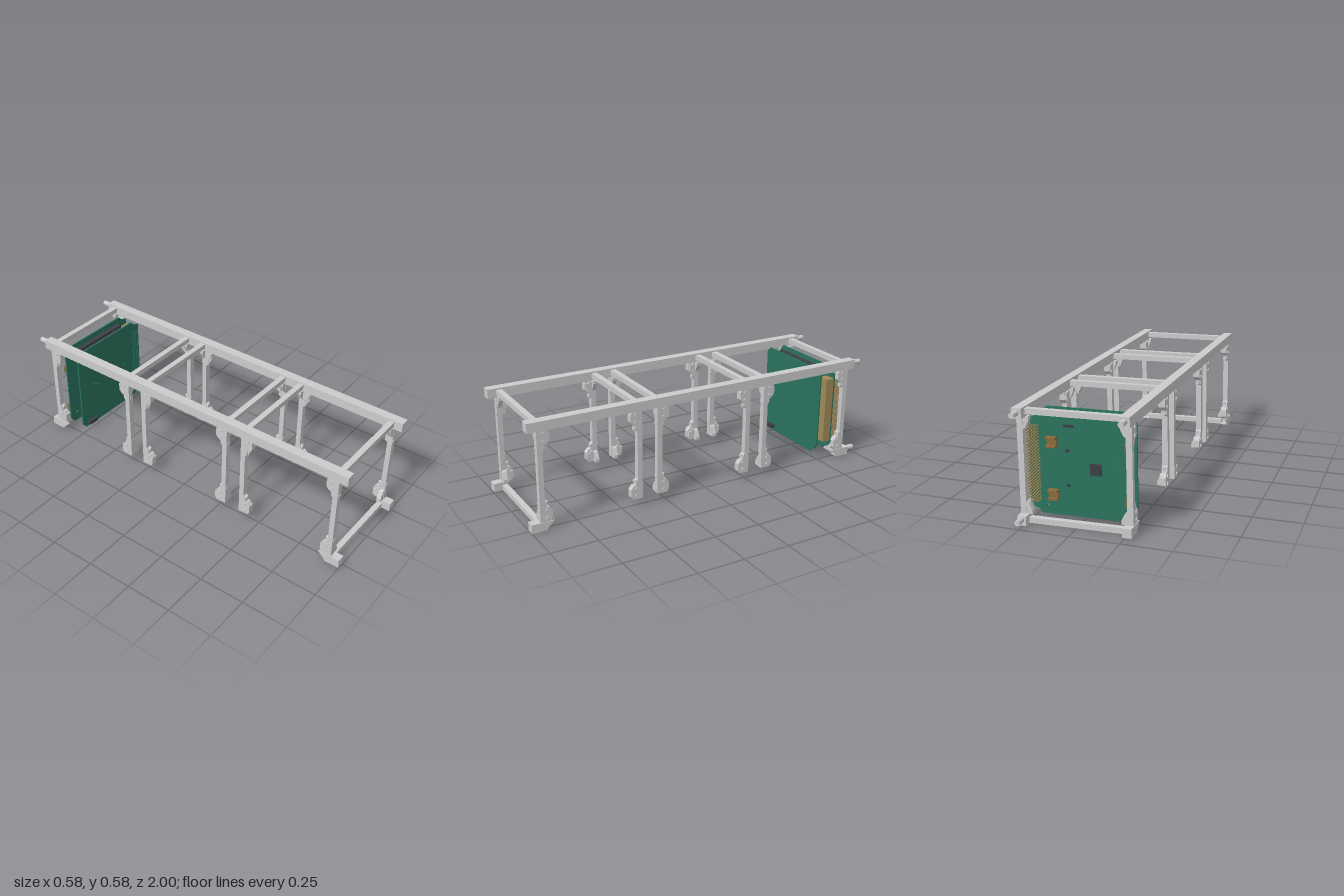
import * as THREE from 'three';
import { mergeGeometries } from 'three/addons/utils/BufferGeometryUtils.js';

const mat = (color) => new THREE.MeshStandardMaterial({ color, flatShading: true });

const box = (w, h, d, x, y, z) => new THREE.BoxGeometry(w, h, d).translate(x, y, z);

// Cylinder along the x or z axis
function rod(r, len, axis, x, y, z, sides = 12) {
  const g = new THREE.CylinderGeometry(r, r, len, sides);
  if (axis === 'x') g.rotateZ(Math.PI / 2); else g.rotateX(Math.PI / 2);
  return g.translate(x, y, z);
}

// Outline of [z, y] points, thickened along x and centred on x
function sidePlate(pts, thick, x) {
  const s = new THREE.Shape(pts.map(([z, y]) => new THREE.Vector2(-z, y)));
  const g = new THREE.ExtrudeGeometry(s, { depth: thick, bevelEnabled: false });
  return g.rotateY(Math.PI / 2).translate(x - thick / 2, 0, 0);
}

// Outline of [x, y] points, thickened along z and centred on z
function frontPlate(pts, thick, z, holes = []) {
  const s = new THREE.Shape(pts.map((p) => new THREE.Vector2(...p)));
  for (const [x, y, r] of holes) s.holes.push(new THREE.Path().absarc(x, y, r, 0, Math.PI * 2, true));
  return new THREE.ExtrudeGeometry(s, { depth: thick, bevelEnabled: false, curveSegments: 3 })
    .translate(0, 0, z - thick / 2);
}

export function createModel() {
  const model = new THREE.Group();
  const frame = new THREE.Group();
  frame.name = 'frame';
  const grey = mat(0xcccccc), green = mat(0x2b735e), dark = mat(0x3c4046);
  const tan = mat(0xa08a58), brown = mat(0x8a6a3c);
  const add = (name, geos, material) => {
    const plain = geos.map((g) => (g.index ? g.toNonIndexed() : g));
    const mesh = new THREE.Mesh(mergeGeometries(plain), material);
    mesh.name = name;
    frame.add(mesh);
  };

  // Upper rails with end pins, and the short lower corner blocks
  for (const s of [-1, 1]) {
    const side = s > 0 ? 'left' : 'right';
    add(side + 'Rail', [
      box(0.05, 0.05, 1.95, s * 0.262, 0.263, 0.025),
      rod(0.014, 0.06, 'z', s * 0.262, 0.266, -0.97, 16),
    ], grey);
    for (const e of [-1, 1]) {
      const end = e > 0 ? 1 : -0.95;
      const h = 0.023;
      const parts = [
        box(0.046, 0.046, 0.05, s * 0.262, -0.263, end - e * 0.025),
        // broken outer wall and ledge of the lower rail
        sidePlate([[end, -0.263 - h], [end - e * 0.075, -0.263 - h],
          [end - e * 0.12, -0.263 + h], [end, -0.263 + h]], 0.006, s * 0.282),
        box(0.046, 0.006, 0.08, s * 0.262, -0.263 - h + 0.003, end - e * 0.04),
      ];
      if (e < 0 && s > 0) parts.push(rod(0.014, 0.06, 'z', 0.262, -0.256, -0.97, 16));
      add(side + (e > 0 ? 'Front' : 'Back') + 'LowerCorner', parts, grey);
    }
  }

  // Six hoops: [outer face of post, direction in which its feet widen]
  const hoops = [[0.952, -1], [0.392, 1], [0.305, -1], [-0.257, 1], [-0.342, -1], [-0.91, 1]];
  hoops.forEach(([z0, dir], i) => {
    const barZ = z0 + dir * 0.013;
    const bars = [box(0.48, 0.028, 0.03, 0, 0.266, barZ)];
    if (i === 0 || i === 5) bars.push(box(0.48, 0.028, 0.03, 0, -0.27, barZ));
    add('crossBars' + (i + 1), bars, grey);

    const half = [[0, 0.24], [0.055, 0.24], [0.066, 0.225], [0.066, 0.185], [0.05, 0.165],
      [0.04, 0.165], [0.035, 0.14], [0.027, 0.13]];
    const outline = [...half, ...half.map(([d, y]) => [d, -y]).reverse()]
      .map(([d, y]) => [z0 + dir * d, y]);
    for (const s of [-1, 1]) {
      const posts = [sidePlate(outline, 0.03, s * 0.267)];
      const screws = [];
      for (const v of [-1, 1]) {
        // inner gusset, thickened foot and fasteners
        posts.push(
          frontPlate([[s * 0.255, v * 0.24], [s * 0.222, v * 0.24], [s * 0.222, v * 0.222],
            [s * 0.24, v * 0.185], [s * 0.255, v * 0.175]], 0.024, z0 + dir * 0.014),
          box(0.038, 0.035, 0.04, s * 0.262, v * 0.205, z0 + dir * 0.042));
        for (const y of [0.222, 0.182]) {
          screws.push(rod(0.01, 0.044, 'x', s * 0.265, v * y, z0 + dir * 0.036, 8));
        }
        screws.push(rod(0.012, 0.045, 'z', s * 0.263, v * 0.145, z0 + dir * 0.02, 6));
      }
      const side = s > 0 ? 'left' : 'right';
      add(side + 'Post' + (i + 1), posts, grey);
      add(side + 'PostScrews' + (i + 1), screws, grey);
    }
  });

  // Pin grid shared by the boards and the header
  const grid = [];
  for (let c = 0; c < 4; c++) {
    for (let r = 0; r < 26; r++) grid.push([0.203 + c * 0.0148, -0.184 + r * 0.0147]);
  }

  // Two circuit boards with clipped corners
  const boardOutline = [[-0.25, -0.225], [-0.225, -0.253], [0.2, -0.253], [0.212, -0.235], [0.24, -0.225],
    [0.257, -0.2], [0.257, 0.215], [0.225, 0.225], [0.2, 0.25], [-0.225, 0.25], [-0.25, 0.225]];
  const mounts = [[-0.11, 0.1, 0.006], [-0.135, 0.005, 0.006], [-0.113, -0.008, 0.006], [0.115, 0.007, 0.006],
    [-0.075, 0.005, 0.002], [0.057, 0.005, 0.002]];
  for (const x of [-0.243, -0.229]) for (const y of [0.053, 0.067]) mounts.push([x, y, 0.002]);
  add('frontBoard', [frontPlate(boardOutline, 0.008, -0.744, [...mounts, ...grid.map((p) => [...p, 0.004])])], green);
  add('backBoard', [frontPlate(boardOutline, 0.008, -0.838,
    [[-0.2, 0.2, 0.008], [-0.2, -0.2, 0.008], [0.17, 0.215, 0.008], [0.17, -0.21, 0.008],
      [-0.16, 0.05, 0.007], [-0.16, 0.01, 0.007], [0.1, -0.02, 0.006]])], green);

  // Long pin header with its pins
  add('pinHeader', [box(0.062, 0.375, 0.048, 0.225, 0, -0.81)], tan);
  add('headerPins', grid.map(([x, y]) => box(0.005, 0.005, 0.046, x, y, -0.865)), tan);

  // Components mounted on the boards
  add('edgeConnector', [
    box(0.37, 0.035, 0.03, -0.02, 0.215, -0.806),
    box(0.34, 0.012, 0.012, -0.02, 0.215, -0.788),
  ], dark);
  add('frontConnector', [
    box(0.056, 0.022, 0.022, -0.18, -0.226, -0.73),
    box(0.072, 0.014, 0.014, -0.18, -0.226, -0.734),
  ], dark);
  add('chips', [
    box(0.03, 0.08, 0.016, -0.21, -0.02, -0.756),
    box(0.06, 0.03, 0.01, -0.11, 0.1, -0.753),
    box(0.055, 0.055, 0.01, -0.08, -0.01, -0.847),
    box(0.05, 0.012, 0.006, 0.05, 0.19, -0.844),
    box(0.014, 0.014, 0.008, 0.06, 0.07, -0.845),
    box(0.014, 0.014, 0.008, 0.06, -0.1, -0.845),
  ], dark);
  for (const y of [0.11, -0.15]) {
    add('socket', [
      box(0.05, 0.05, 0.012, 0.135, y, -0.848),
      box(0.05, 0.01, 0.03, 0.135, y + 0.02, -0.857),
      box(0.05, 0.01, 0.03, 0.135, y - 0.02, -0.857),
    ], brown);
    add('sideSocket', [box(0.02, 0.045, 0.02, -0.238, y, -0.85)], brown);
  }

  // The whole frame leans very slightly to one side
  frame.rotation.z = -0.016;
  frame.position.y = 0.291;
  model.add(frame);
  return model;
}
